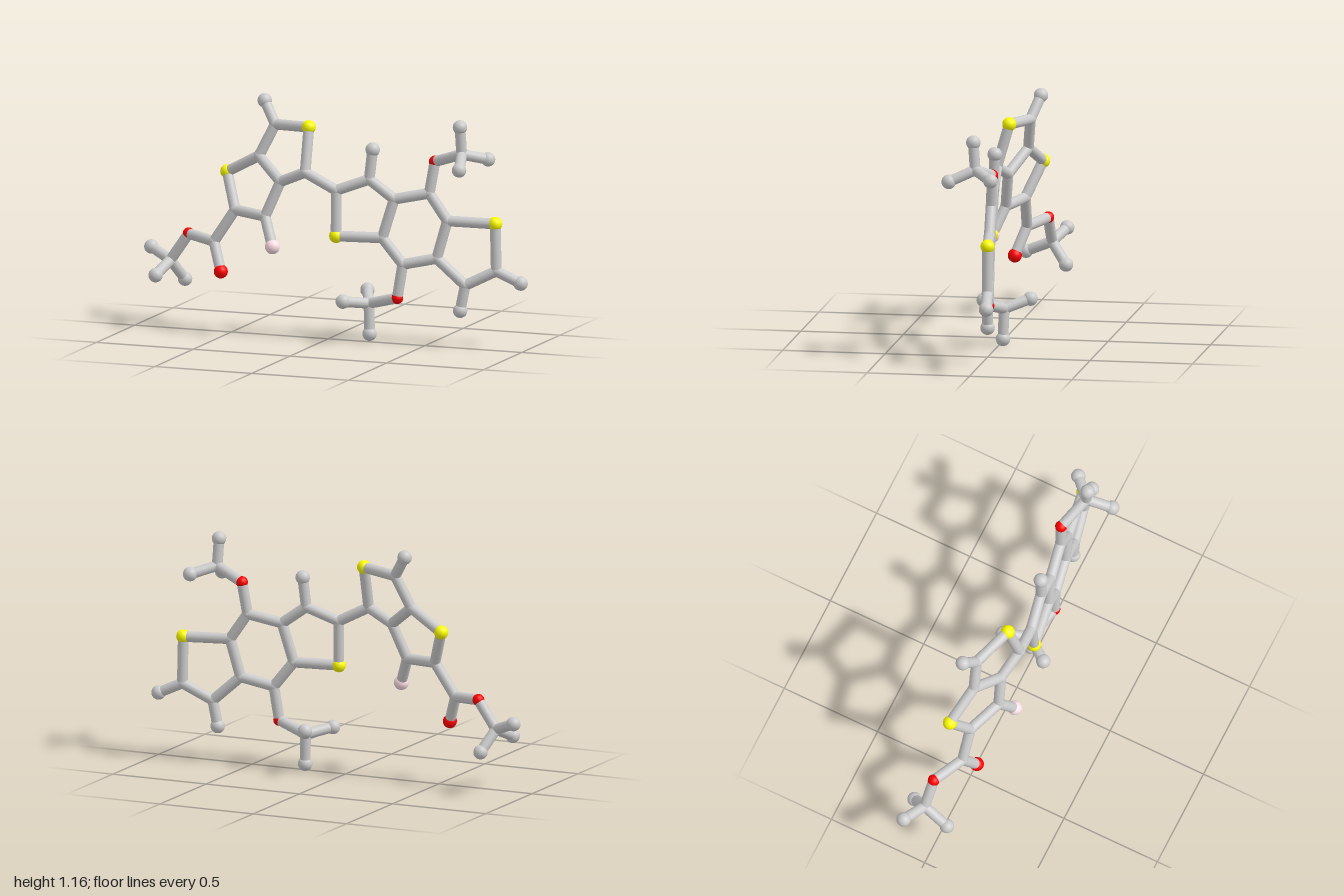
import * as THREE from 'three';

const BOND_RADIUS = 0.026;

// Atom kinds: part name, ball radius, colour
const KINDS = {
  C: ['carbonJoint', 0.0275, 0xcccccc],
  E: ['carbonEnd', 0.035, 0xcccccc],
  S: ['sulfur', 0.034, 0xffff00],
  O: ['oxygen', 0.029, 0xff0000],
  D: ['carbonylOxygen', 0.034, 0xff0000],
  F: ['fluorine', 0.036, 0xffe0e6],
};

// Each fragment: atoms as id: [kind, x, y, z]
const FRAGMENTS = {
  leftFusedRings: {
    a1: ['E', -0.37, 1.125, -0.107],
    a2: ['C', -0.30, 1.02, -0.068],
    a3: ['S', -0.10, 1.03, 0.0],
    a4: ['C', -0.095, 0.82, 0.06],
    a5: ['C', -0.235, 0.76, 0.03],
    a6: ['C', -0.375, 0.865, -0.045],
    a7: ['S', -0.555, 0.77, -0.085],
    a8: ['C', -0.485, 0.60, -0.01],
    a9: ['C', -0.305, 0.59, 0.053],
    a10: ['F', -0.245, 0.455, 0.11],
  },
  esterGroup: {
    e1: ['C', -0.59, 0.44, 0.0],
    e2: ['D', -0.535, 0.305, 0.05],
    e3: ['O', -0.75, 0.455, -0.075],
    e4: ['C', -0.845, 0.32, -0.077],
    e5: ['E', -0.965, 0.368, -0.13],
    e6: ['E', -0.87, 0.265, 0.055],
    e7: ['E', -0.80, 0.218, -0.153],
  },
  rightFusedRings: {
    b1: ['C', 0.06, 0.74, 0.047],
    b2: ['C', 0.22, 0.80, 0.02],
    b3: ['C', 0.345, 0.71, 0.01],
    b4: ['C', 0.29, 0.52, 0.026],
    b5: ['S', 0.065, 0.52, 0.06],
    b6: ['E', 0.235, 0.945, 0.012],
    b7: ['C', 0.515, 0.745, -0.02],
    b8: ['C', 0.605, 0.615, -0.027],
    b9: ['C', 0.555, 0.43, -0.015],
    b10: ['C', 0.39, 0.395, 0.012],
    b11: ['S', 0.84, 0.61, -0.06],
    b12: ['C', 0.845, 0.38, -0.06],
    b13: ['C', 0.695, 0.305, -0.033],
    b14: ['E', 0.965, 0.325, -0.075],
    b15: ['E', 0.67, 0.18, -0.03],
  },
  upperMethoxy: {
    u1: ['O', 0.54, 0.90, -0.03],
    u2: ['C', 0.70, 0.955, 0.025],
    u3: ['E', 0.695, 1.088, 0.035],
    u4: ['E', 0.80, 0.922, -0.067],
    u5: ['E', 0.735, 0.90, 0.148],
  },
  lowerMethoxy: {
    l1: ['O', 0.365, 0.23, 0.02],
    l2: ['C', 0.20, 0.185, -0.028],
    l3: ['E', 0.205, 0.038, -0.023],
    l4: ['E', 0.145, 0.228, -0.147],
    l5: ['E', 0.11, 0.207, 0.087],
  },
};

// Chains of joined atoms
const CHAINS = [
  'a1 a2 a3 a4 a5 a6 a2', 'a6 a7 a8 a9 a5', 'a9 a10',
  'a8 e1 e2', 'e1 e3 e4 e5', 'e6 e4 e7',
  'a4 b1 b2 b3 b4 b5 b1', 'b2 b6',
  'b3 b7 b8 b9 b10 b4', 'b8 b11 b12 b13 b9', 'b12 b14', 'b13 b15',
  'b7 u1 u2 u3', 'u4 u2 u5',
  'b10 l1 l2 l3', 'l4 l2 l5',
];

export function createModel() {
  const model = new THREE.Group();
  model.name = 'molecule';
  const points = {};

  // One shared ball and material per atom kind
  const parts = {};
  for (const [kind, [name, radius, color]] of Object.entries(KINDS)) {
    parts[kind] = {
      name,
      geometry: new THREE.SphereGeometry(radius, 24, 16),
      material: new THREE.MeshStandardMaterial({ color }),
    };
  }

  // Atom balls
  for (const [fragment, atoms] of Object.entries(FRAGMENTS)) {
    const group = new THREE.Group();
    group.name = fragment;
    for (const [id, [kind, x, y, z]] of Object.entries(atoms)) {
      const { name, geometry, material } = parts[kind];
      const ball = new THREE.Mesh(geometry, material);
      ball.name = name;
      ball.position.set(x, y, z);
      points[id] = ball.position;
      group.add(ball);
    }
    model.add(group);
  }

  // Bond rods between neighbouring atoms
  const bonds = new THREE.Group();
  bonds.name = 'bonds';
  const up = new THREE.Vector3(0, 1, 0);
  const addBond = (a, b) => {
    const dir = b.clone().sub(a);
    const rod = new THREE.Mesh(
      new THREE.CylinderGeometry(BOND_RADIUS, BOND_RADIUS, dir.length(), 20),
      parts.C.material,
    );
    rod.name = 'bond';
    rod.position.copy(a).add(b).multiplyScalar(0.5);
    rod.quaternion.setFromUnitVectors(up, dir.normalize());
    bonds.add(rod);
  };
  for (const chain of CHAINS) {
    const ids = chain.split(' ');
    for (let i = 1; i < ids.length; i++) addBond(points[ids[i - 1]], points[ids[i]]);
  }
  model.add(bonds);
  return model;
}
